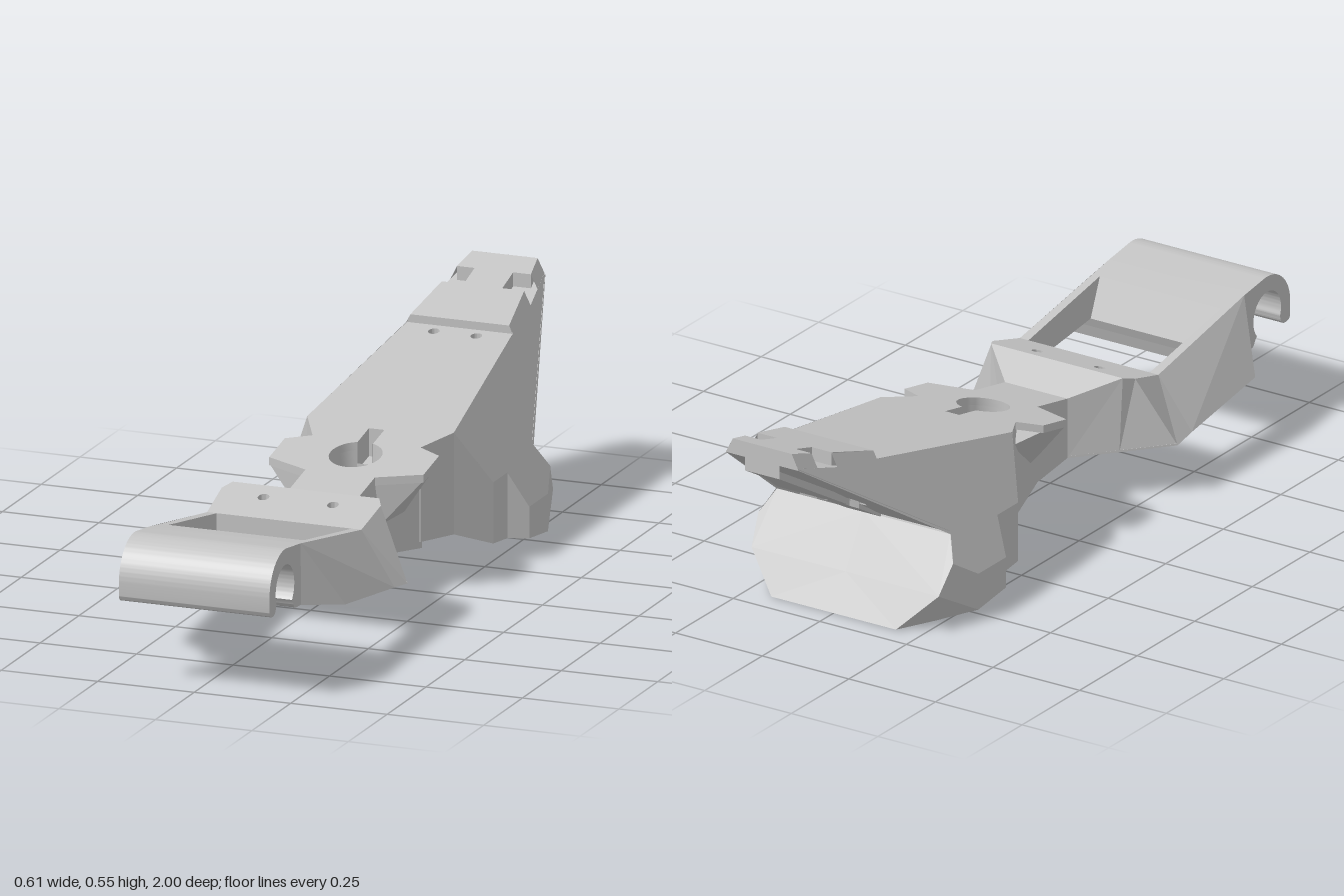
import * as THREE from 'three';
import { toCreasedNormals } from 'three/addons/utils/BufferGeometryUtils.js';
import { ConvexGeometry } from 'three/addons/geometries/ConvexGeometry.js';

const grey = new THREE.MeshStandardMaterial({ color: 0xc4c4c4, side: THREE.DoubleSide });
grey.name = 'plain grey';

// Guiding planes: flank half-width by height; heights of the sloping faces by z
const flankX = y => 0.085 + (0.55 - y) * 0.506;
const flankY = x => 0.55 - (x - 0.085) / 0.506;
const spine = z => 0.265 + 0.2 * (0.19 - z);
const tail = z => 0.465 + 0.293 * (-0.71 - z);
const tailBase = z => 0.225 + 0.648 * (-0.56 - z);
const tailRidge = z => 0.218 + 0.584 * (-0.56 - z);
const deck = z => 0.31 - 0.28 * (z - 0.28);
const rail = z => 0.268 + 0.195 * (z - 0.43);
const under = z => 0.124 * (z + 0.69);

export function createModel() {
  const model = new THREE.Group();
  const add = (name, geo) => {
    const m = new THREE.Mesh(geo, grey);
    m.name = name;
    model.add(m);
    return m;
  };

  // Flat-faced skin between rows of points on the +x half, mirrored to -x
  const skin = (name, rows) => {
    const pos = [];
    for (const s of [1, -1]) {
      for (let r = 0; r + 1 < rows.length; r++) {
        for (let i = 0; i + 1 < rows[r].length; i++) {
          const a = rows[r][i], b = rows[r][i + 1], c = rows[r + 1][i + 1], d = rows[r + 1][i];
          const order = s > 0 ? [a, d, b, b, d, c] : [a, b, d, b, c, d];
          for (const p of order) pos.push(s * p[0], p[1], p[2]);
        }
      }
    }
    const g = new THREE.BufferGeometry();
    g.setAttribute('position', new THREE.Float32BufferAttribute(pos, 3));
    g.computeVertexNormals();
    return add(name, g);
  };

  // Plate with a mirrored plan outline [x, z], holes, and a sloping top
  const slab = (name, half, holes, top, depth, drop = 0) => {
    const pts = [...half, ...half.map(([x, z]) => [-x, z]).reverse()];
    const shape = new THREE.Shape(pts.map(p => new THREE.Vector2(...p)));
    shape.holes.push(...holes);
    const g = new THREE.ExtrudeGeometry(shape, { depth, bevelEnabled: false, curveSegments: 16 });
    const p = g.attributes.position;
    for (let i = 0; i < p.count; i++) {
      const z = p.getY(i);
      p.setXYZ(i, p.getX(i), top(z) - drop - p.getZ(i), z);
    }
    g.computeVertexNormals();
    return add(name, toCreasedNormals(g, 0.6));
  };
  const screwHoles = (x, z, r) => [x, -x].map(cx => new THREE.Path().absarc(cx, z, r, 0, Math.PI * 2));
  const bores = (name, x, z, rTop, rBottom, y0, y1) => {
    for (const s of [1, -1]) {
      add(name, new THREE.CylinderGeometry(rTop, rBottom, y1 - y0, 24, 1, true)).position.set(s * x, (y0 + y1) / 2, z);
    }
  };

  // Rear spine plate with keyhole and screw holes
  const keyhole = new THREE.Path();
  keyhole.moveTo(-0.02, -0.1).lineTo(-0.02, -0.175).lineTo(0.02, -0.175).lineTo(0.02, -0.1);
  keyhole.absarc(0, -0.04, 0.065, -1.26, Math.PI + 1.26, false);
  const spinePlan = [[0.137, -0.71], [0.19, -0.2], [0.14, -0.11], [0.2, -0.08], [0.2, 0.02], [0.09, 0.06], [0.09, 0.19]];
  const innerPlan = [[0.137, -0.71], [0.19, -0.2], [0.13, -0.11], [0.09, 0.06], [0.09, 0.19]];
  slab('spinePlate', spinePlan, [keyhole, ...screwHoles(0.055, -0.68, 0.014)], spine, 0.02);
  slab('spineCore', innerPlan, [keyhole, ...screwHoles(0.055, -0.68, 0.014)], spine, 0.05, 0.02);
  slab('spineFloor', innerPlan, [], spine, 0.005, 0.07);

  // Tail plate with two side notches
  slab('tailPlate', [[0.128, -0.71], [0.107, -0.86], [0.05, -0.86], [0.05, -0.93], [0.096, -0.93], [0.085, -1]], [], tail, 0.035);
  slab('tailFloor', [[0.145, -0.71], [0.103, -1]], [], tail, 0.003, 0.035);
  skin('tailStep', [[[0, 0.465, -0.71], [0.128, 0.465, -0.71]], [[0, 0.445, -0.71], [0.137, 0.445, -0.71]]]);

  // Sloping flanks: a side outline laid onto the flank plane
  const flank = new THREE.ShapeGeometry(new THREE.Shape([
    [-0.2, spine(-0.2)], [-0.71, 0.445], [-0.71, 0.465], [-0.86, 0.509], [-0.86, 0.474], [-0.93, 0.494], [-0.93, 0.529],
    [-1, 0.55], [-1, 0.51], [-0.56, 0.22], [-0.594, 0.162], [-0.52, 0.115], [-0.4, 0.115],
    [-0.37, flankY(0.26)], [-0.28, flankY(0.26)],
  ].map(p => new THREE.Vector2(...p)))).toNonIndexed();
  const fp = flank.attributes.position;
  for (let i = 0; i < fp.count; i++) fp.setXYZ(i, flankX(fp.getY(i)), fp.getY(i), fp.getX(i));
  flank.computeVertexNormals();
  add('leftFlank', flank);
  add('rightFlank', flank).scale.x = -1;

  // Tail end, and underside with a central ridge and screw bores
  skin('tailEnd', [[0.55, 0.085], [0.51, 0.105], [0.51, 0.05], [0.475, 0.05]].map(([y, x]) => [[0, y, -1], [x, y, -1]]));
  slab('tailUnderside', [[0.248, -0.56], [0.104, -1]], screwHoles(0.055, -0.68, 0.028), tailBase, 0.004, -0.004);
  slab('tailRidge', [[0.05, -0.56], [0.05, -0.655], [0.03, -0.665], [0.03, -0.695], [0.05, -0.705], [0.05, -1]], [],
    z => tailRidge(z) + 0.02, 0.02);
  bores('tailBore', 0.055, -0.68, 0.028, 0.028, tailBase(-0.68) + 0.018, tailBase(-0.68) + 0.1);

  // Haunch: outer walls, rim raised at the front, and the hollow beneath
  const front = [[0, -0.1], [0.14, -0.11], [0.19, -0.2], [0.26, -0.28], [0.26, -0.37], [0.305, -0.4], [0.305, -0.52]];
  const rim = (x, z) => z > -0.25 ? 0.088 : under(z);
  const upper = [...front.map(([x, z]) => [x, x < 0.15 ? 0.27 : flankY(x), z]),
    [0.281, 0.162, -0.594], [0.25, 0.22, -0.56], [0, 0.22, -0.56]];
  const middle = [...front.map(([x, z]) => [x, 0.1, z]),
    [0.27, 0.09, -0.64], [0.27, 0.09, -0.64], [0, 0.09, -0.637]];
  const lower = [...front.map(([x, z]) => [x, rim(x, z), z]),
    [0.243, 0.011, -0.613], [0.18, 0, -0.69], [0, 0, -0.69]];
  const shrink = (k, lift) => lower.map(([x, y, z]) => {
    const cz = -0.42 + (z + 0.42) * k;
    return [x * k, lift ? under(cz) + lift : Math.max(under(cz), z > -0.25 ? y : 0), cz];
  });
  const ceiling = shrink(0.7, 0.09);
  skin('haunch', [upper, middle, lower, shrink(0.85, 0), ceiling, ceiling.map(p => [0, p[1], p[2]])]);

  // Small wedge-shaped wings beside the keyhole
  const wing = new ConvexGeometry([
    [0.1, spine(-0.1) - 0.02, -0.1], [0.2, spine(-0.08) - 0.015, -0.08], [0.2, spine(0.02) - 0.015, 0.02],
    [0.09, spine(0.06) - 0.015, 0.06], [0.1, 0.17, 0.05], [0.13, 0.185, -0.03], [0.13, 0.26, -0.11],
  ].map(p => new THREE.Vector3(...p)));
  add('leftWing', wing);
  add('rightWing', wing).scale.x = -1;

  // Neck
  skin('neck', [[0.14, -0.12], [0.09, 0.06], [0.09, 0.19]].map(([x, z]) =>
    [[x, spine(z) - 0.002, z], [x, under(z), z], [0, under(z), z]]));

  // Front frame: ramp, deck with screw holes, rails
  skin('ramp', [[[0, 0.265, 0.19], [0.09, 0.265, 0.19]], [[0, 0.31, 0.28], [0.19, 0.31, 0.28]]]);
  slab('deck', [[0.19, 0.28], [0.206, 0.31], [0.2, 0.42]], screwHoles(0.09, 0.33, 0.014), deck, 0.02);
  const railEdge = [[0.2, deck(0.42), 0.42], [0.195, 0.34, 0.8]];
  skin('rails', [[[0.175, deck(0.42), 0.42], [0.175, rail(0.73), 0.73], [0.175, 0.34, 0.8]],
    [railEdge[0], [0.196, rail(0.73), 0.73], railEdge[1]]]);
  skin('frontBar', [[[0, rail(0.73), 0.73], [0.176, rail(0.73), 0.73]], [[0, 0.34, 0.8], [0.176, 0.34, 0.8]]]);

  // Frame outer sides
  const foot = (x, z) => [x, under(z), z];
  skin('frameSides', [
    [[0.09, 0.265, 0.19], [0.19, 0.31, 0.28], [0.206, deck(0.31), 0.31], ...railEdge, railEdge[1], [0, 0.34, 0.8]],
    [foot(0.09, 0.19), foot(0.187, 0.27), foot(0.295, 0.36), foot(0.29, 0.43), foot(0.28, 0.72), foot(0.19, 0.8), foot(0, 0.8)],
  ]);

  // Window walls with a ledge, flaring out below
  skin('window', [
    [[0, deck(0.42), 0.42], [0.175, deck(0.42), 0.42], [0.175, rail(0.73), 0.73], [0, rail(0.73), 0.73]],
    [[0, 0.2, 0.42], [0.175, 0.2, 0.42], [0.175, 0.23, 0.69], [0, 0.23, 0.69]],
    [[0, 0.175, 0.4], [0.215, 0.175, 0.4], [0.215, 0.205, 0.7], [0, 0.205, 0.7]],
    [foot(0, 0.38), foot(0.24, 0.38), foot(0.24, 0.71), foot(0, 0.71)],
  ]);

  // Bottom rim, and the deck underside with flared screw bores
  skin('frameRim', [
    [foot(0.24, 0.38), foot(0.24, 0.43), foot(0.24, 0.71), foot(0.15, 0.71), foot(0, 0.71)],
    [foot(0.295, 0.36), foot(0.29, 0.43), foot(0.28, 0.72), foot(0.19, 0.8), foot(0, 0.8)],
  ]);
  slab('deckUnderside', [[0.09, 0.19], [0.187, 0.27], [0.295, 0.36], [0.24, 0.38]], screwHoles(0.09, 0.33, 0.03),
    z => under(z) + 0.005, 0.005);
  bores('deckBore', 0.09, 0.33, 0.014, 0.03, under(0.33) + 0.004, deck(0.33) - 0.01);

  // Open clip along the front edge
  const clip = new THREE.Shape();
  clip.moveTo(0.78, 0.185).lineTo(0.78, 0.336).lineTo(0.8, 0.34);
  clip.absarc(0.9, 0.253, 0.1, 1.75, 0, true);
  clip.lineTo(1, 0.22).quadraticCurveTo(0.998, 0.205, 0.98, 0.205).quadraticCurveTo(0.96, 0.205, 0.958, 0.222);
  clip.absarc(0.9, 0.253, 0.06, -0.4, Math.PI * 1.23, false);
  clip.lineTo(0.845, 0.2).quadraticCurveTo(0.842, 0.188, 0.825, 0.187);
  const clipGeo = new THREE.ExtrudeGeometry(clip, { depth: 0.39, bevelEnabled: false, curveSegments: 24 });
  clipGeo.rotateY(-Math.PI / 2).translate(0.195, 0, 0);
  add('frontClip', toCreasedNormals(clipGeo, 0.6));

  return model;
}
